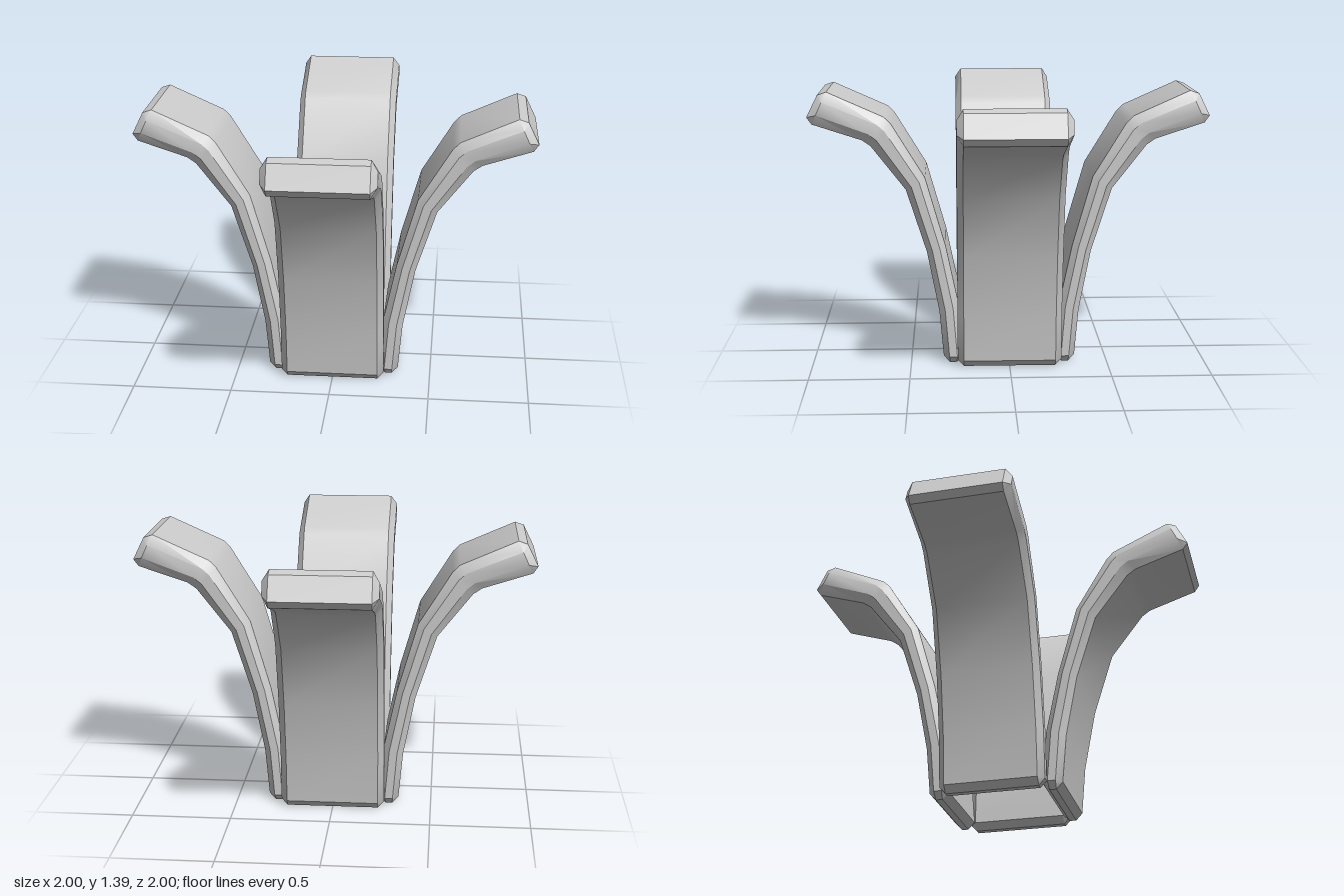
import * as THREE from 'three';
import { toCreasedNormals } from 'three/addons/utils/BufferGeometryUtils.js';

// Side profile of one leaf: [inner x, inner y, outer x, outer y], foot to tip
const STATIONS = [
  [0.235, 0.035, 0.334, 0.035],
  [0.255, 0.30, 0.355, 0.275],
  [0.32, 0.61, 0.414, 0.58],
  [0.42, 0.96, 0.516, 0.90],
  [0.585, 1.23, 0.687, 1.12],
  [0.62, 1.265, 0.73, 1.15],
  [0.90, 1.39, 0.975, 1.23],
];
const FOOT = [0.268, 0, 0.302, 0];
const TIP = [0.945, 1.375, 1.0, 1.265];
const HALF = 0.263;      // half width at the side faces
const FACE = 0.232;      // half width of the broad faces, inside the chamfer

// Eight-sided section; bevel 0 gives the plain rectangle of an end cap
function section([ix, iy, ox, oy], bevel) {
  const at = (t, z) => new THREE.Vector3(ix + (ox - ix) * t, iy + (oy - iy) * t, z);
  const side = bevel ? HALF : FACE;
  return [
    at(0, -FACE), at(0, FACE), at(bevel, side), at(1 - bevel, side),
    at(1, FACE), at(1, -FACE), at(1 - bevel, -side), at(bevel, -side),
  ];
}

function leafGeometry() {
  const rings = [section(FOOT, 0), ...STATIONS.map((s) => section(s, 0.3)), section(TIP, 0)];
  const positions = [];
  const triangle = (a, b, c) => {
    // skip the collapsed triangles at the cap corners
    if (a.equals(b) || b.equals(c) || a.equals(c)) return;
    for (const p of [a, b, c]) positions.push(p.x, p.y, p.z);
  };
  for (let i = 0; i < rings.length - 1; i++) {
    for (let j = 0; j < 8; j++) {
      const k = (j + 1) % 8;
      triangle(rings[i][j], rings[i][k], rings[i + 1][k]);
      triangle(rings[i][j], rings[i + 1][k], rings[i + 1][j]);
    }
  }
  // End faces
  const foot = rings[0];
  const tip = rings[rings.length - 1];
  triangle(foot[0], foot[4], foot[1]);
  triangle(foot[0], foot[5], foot[4]);
  triangle(tip[0], tip[1], tip[4]);
  triangle(tip[0], tip[4], tip[5]);

  const geometry = new THREE.BufferGeometry();
  geometry.setAttribute('position', new THREE.Float32BufferAttribute(positions, 3));
  return toCreasedNormals(geometry, THREE.MathUtils.degToRad(32));
}

export function createModel() {
  const model = new THREE.Group();
  model.name = 'splayedLeaves';
  const material = new THREE.MeshStandardMaterial({ color: 0xcccccc });
  const geometry = leafGeometry();
  // Four identical leaves, a quarter turn apart
  ['leftLeaf', 'backLeaf', 'rightLeaf', 'frontLeaf'].forEach((name, i) => {
    const leaf = new THREE.Mesh(geometry, material);
    leaf.name = name;
    leaf.rotation.y = (i * Math.PI) / 2;
    model.add(leaf);
  });
  return model;
}
